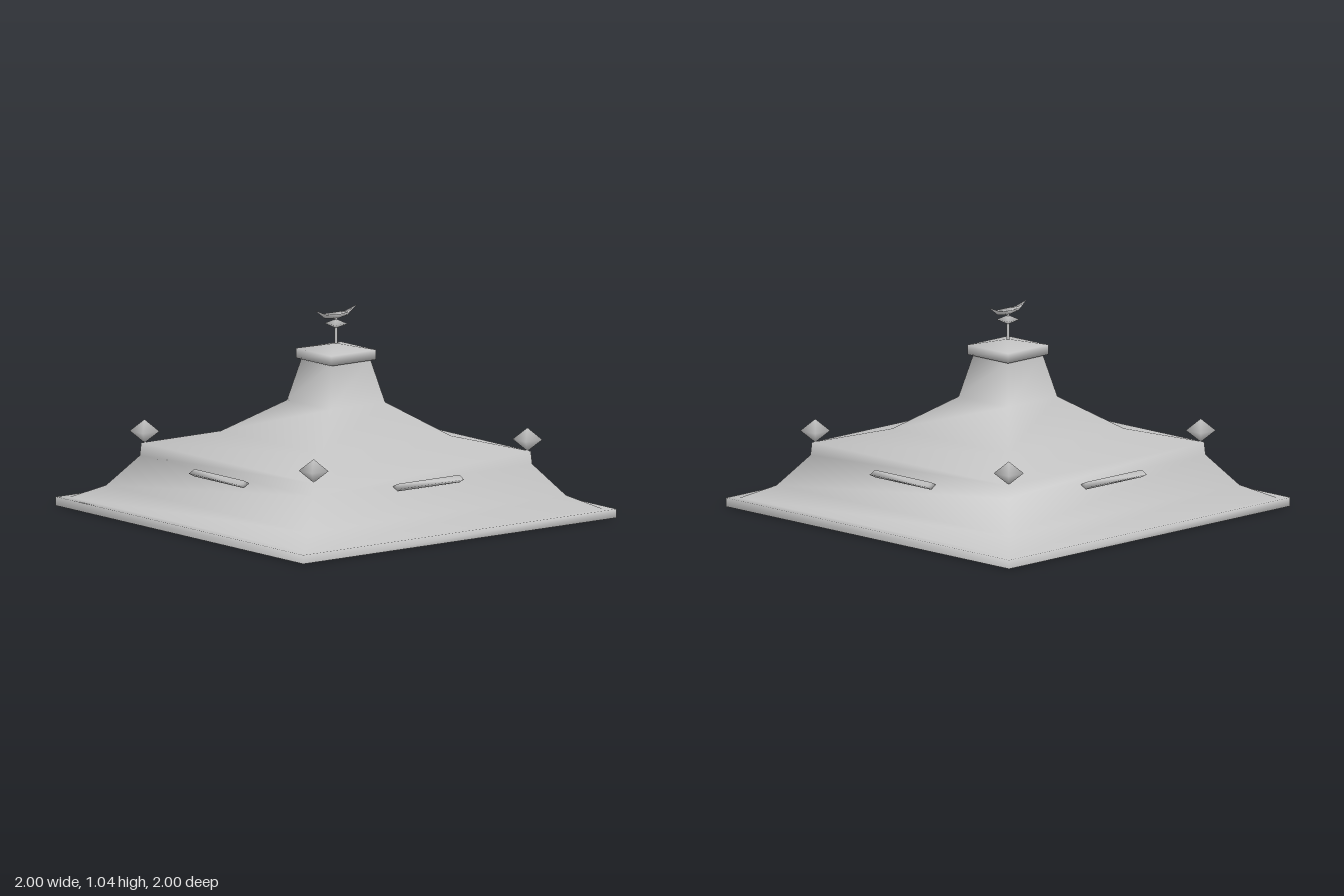
import * as THREE from 'three';
import { mergeVertices } from 'three/addons/utils/BufferGeometryUtils.js';

const grey = new THREE.MeshStandardMaterial({ color: 0xc4c4c4, side: THREE.DoubleSide });
grey.name = 'grey';

// Smooth skin through a list of four-point rings
function loft(rings) {
  const index = [];
  for (let r = 0; r < rings.length - 1; r++) {
    for (let i = 0; i < 4; i++) {
      const j = (i + 1) % 4;
      const a = r * 4 + i, b = r * 4 + j, d = a + 4, c = b + 4;
      index.push(a, d, b, b, d, c);
    }
  }
  const g = new THREE.BufferGeometry();
  g.setAttribute('position', new THREE.Float32BufferAttribute(rings.flat(2), 3));
  g.setIndex(index);
  const merged = mergeVertices(g);
  merged.computeVertexNormals();
  return merged;
}

// Square ring of half width h at height y
const square = ([h, y]) => [[h, y, -h], [h, y, h], [-h, y, h], [-h, y, -h]];
// Diamond ring across the x axis
const diamond = (x, bottom, side, top, z) => [[x, bottom, 0], [x, side, z], [x, top, 0], [x, side, -z]];

export function createModel() {
  const group = new THREE.Group();
  const add = (name, geometry, x = 0, y = 0, z = 0) => {
    const mesh = new THREE.Mesh(geometry, grey);
    mesh.name = name;
    mesh.position.set(x, y, z);
    group.add(mesh);
    return mesh;
  };

  // Hollow stepped roof with a thin rim
  add('roof', loft([
    [1, 0], [1, 0.045], [0.95, 0.045], [0.82, 0.11], [0.7, 0.265],
    [0.695, 0.33], [0.41, 0.4], [0.175, 0.565], [0.122, 0.785],
  ].map(square)));

  // Cap on the neck
  add('cap', loft([[0, 0.78], [0.143, 0.78], [0.143, 0.83], [0, 0.86]].map(square)));

  // Diamond knobs on the corners
  const knob = loft([[0, -0.06], [0.053, 0], [0, 0.06]].map(square));
  for (const x of [-0.683, 0.683])
    for (const z of [-0.683, 0.683]) add('cornerKnob', knob, x, 0.39, z);

  // Diamond-section bars on the four sides
  const bar = loft([
    diamond(-0.198, 0, 0, 0, 0), diamond(-0.198, -0.019, 0, 0.019, 0.037),
    diamond(0.198, -0.019, 0, 0.019, 0.037), diamond(0.198, 0, 0, 0, 0),
  ]);
  for (let i = 0; i < 4; i++) {
    const a = i * Math.PI / 2;
    add('sideBar', bar, 0.747 * Math.sin(a), 0.257, 0.747 * Math.cos(a)).rotation.y = a;
  }

  // Finial: pole, bead and crescent
  add('pole', new THREE.CylinderGeometry(0.008, 0.008, 0.15, 8), 0, 0.92, 0);
  add('bead', loft([[0, -0.024], [0.042, 0], [0, 0.024]].map(square)), 0, 0.96, 0);
  add('crescent', loft([
    diamond(-0.137, 1.043, 1.043, 1.043, 0), diamond(-0.075, 0.995, 1.015, 1.012, 0.019),
    diamond(0, 0.983, 1.012, 1.002, 0.03),
    diamond(0.075, 0.995, 1.015, 1.012, 0.019), diamond(0.137, 1.043, 1.043, 1.043, 0),
  ]));

  return group;
}
